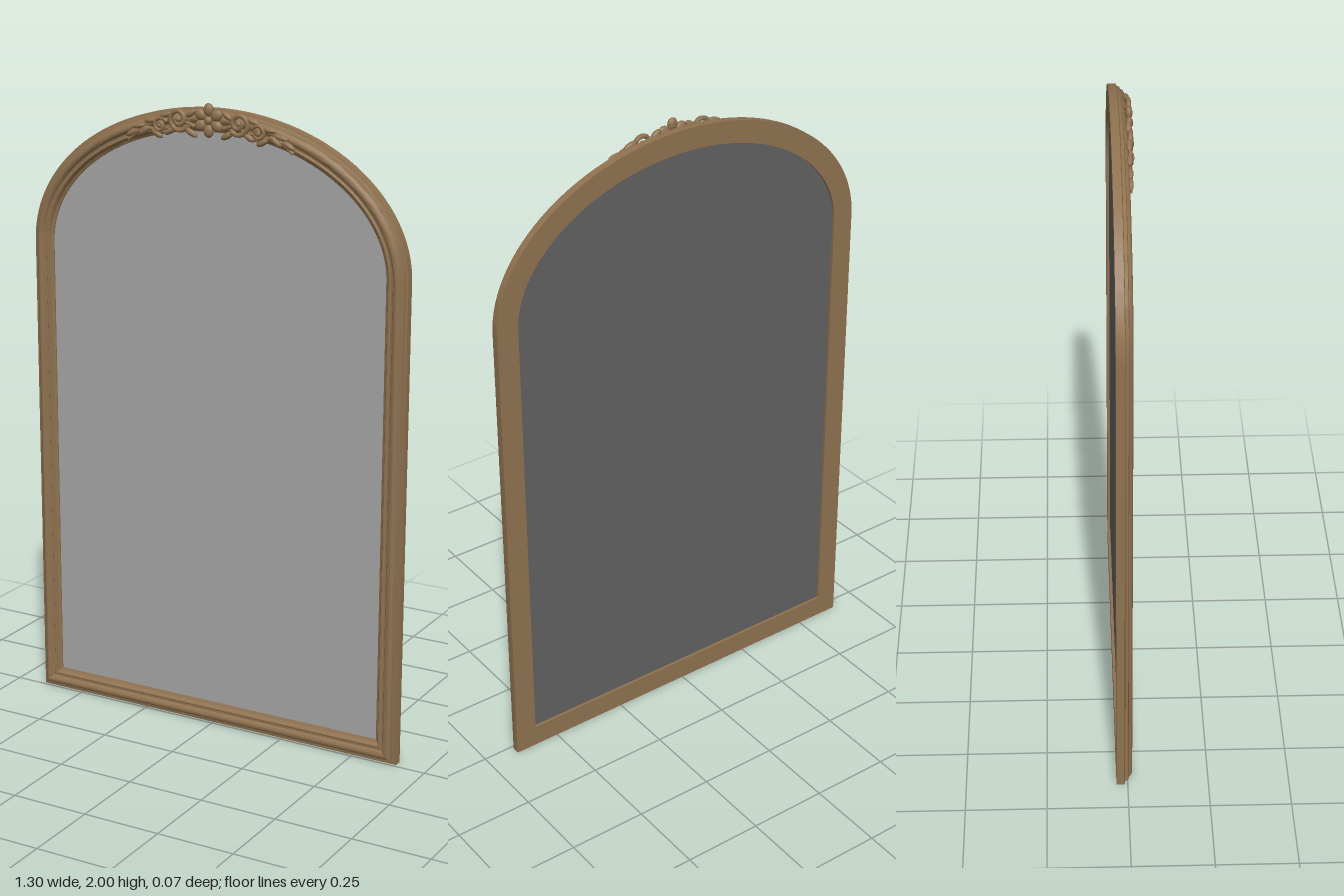
import * as THREE from 'three';
import { toCreasedNormals } from 'three/addons/utils/BufferGeometryUtils.js';

const HALF_W = 0.65, SPRING = 1.52, RISE = 0.46, ARCH_STEPS = 64;

// Arched outline, counter-clockwise from the front, offset inward by u
function outline(u) {
  const pts = [new THREE.Vector2(-HALF_W + u, u), new THREE.Vector2(HALF_W - u, u)];
  for (let i = 0; i <= ARCH_STEPS; i++) {
    const t = (i / ARCH_STEPS) * Math.PI;
    const n = new THREE.Vector2(Math.cos(t) / HALF_W, Math.sin(t) / RISE).normalize();
    pts.push(new THREE.Vector2(HALF_W * Math.cos(t) - n.x * u, SPRING + RISE * Math.sin(t) - n.y * u));
  }
  return pts;
}

// Closed moulding section swept round the outline: [inset, z]
function mouldingGeometry() {
  const section = [
    [0, -0.035], [0, -0.01], [0.007, -0.008], [0.010, 0.001], [0.016, 0.003],
    [0.020, 0.010], [0.026, 0.014], [0.033, 0.0145], [0.039, 0.011], [0.043, 0.004],
    [0.049, 0.003], [0.052, 0.007], [0.056, 0.007], [0.059, 0.002], [0.062, -0.004],
    [0.070, -0.008], [0.070, -0.035],
  ];
  const rings = section.map(([u]) => outline(u));
  const n = rings[0].length, m = section.length;
  const pos = [], index = [];
  for (let i = 0; i < n; i++) {
    for (let j = 0; j < m; j++) pos.push(rings[j][i].x, rings[j][i].y, section[j][1]);
  }
  for (let i = 0; i < n; i++) {
    for (let j = 0; j < m; j++) {
      const i2 = (i + 1) % n, j2 = (j + 1) % m;
      const a = i * m + j, b = i2 * m + j, c = i2 * m + j2, d = i * m + j2;
      index.push(a, b, c, a, c, d);
    }
  }
  const g = new THREE.BufferGeometry();
  g.setAttribute('position', new THREE.Float32BufferAttribute(pos, 3));
  g.setIndex(index);
  return toCreasedNormals(g, 0.6);
}

// Height of the moulding's centre line on the arch
const archY = (x) => SPRING + 0.425 * Math.sqrt(1 - (x / 0.615) ** 2);

export function createModel() {
  const model = new THREE.Group();
  model.name = 'archedMirror';
  const gold = new THREE.MeshStandardMaterial({ color: 0x8f7250 });
  gold.name = 'antique gold';
  const silver = new THREE.MeshStandardMaterial({ color: 0xa6a6a6 });
  silver.name = 'mirror silver';
  const backing = new THREE.MeshStandardMaterial({ color: 0x626262 });
  backing.name = 'backing grey';

  const add = (parent, name, geometry, material) => {
    const mesh = new THREE.Mesh(geometry, material);
    mesh.name = name;
    parent.add(mesh);
    return mesh;
  };

  add(model, 'frame', mouldingGeometry(), gold);

  // Glass and its backing
  const pane = new THREE.Shape(outline(0.066));
  add(model, 'mirrorGlass', new THREE.ShapeGeometry(pane), silver).position.z = -0.012;
  const back = add(model, 'backPanel', new THREE.ShapeGeometry(pane), backing);
  back.rotation.y = Math.PI;
  back.position.z = -0.026;

  // Carved crest
  const crest = new THREE.Group();
  crest.name = 'crest';
  model.add(crest);
  const ball = new THREE.SphereGeometry(1, 14, 10);
  const blob = (name, x, y, z, rx, ry, rz, angle = 0) => {
    const mesh = add(crest, name, ball, gold);
    mesh.position.set(x, y, z);
    mesh.scale.set(rx, ry, rz);
    mesh.rotation.z = angle;
  };
  const tube = (name, pts, r) => add(crest, name,
    new THREE.TubeGeometry(new THREE.CatmullRomCurve3(pts), 36, r, 7), gold);

  // Rosette
  const fy = 1.948;
  for (let i = 0; i < 6; i++) {
    const a = Math.PI / 2 + (i * Math.PI) / 3;
    blob('petal', 0.032 * Math.cos(a), fy + 0.032 * Math.sin(a), 0.019, 0.02, 0.0165, 0.011, a);
  }
  blob('rosetteCentre', 0, fy, 0.022, 0.013, 0.013, 0.01);

  // Scrolls and leaves, mirrored
  for (const s of [1, -1]) {
    const scroll = (cx, cy, r0, start, turns, dir, r) => {
      const pts = [];
      for (let i = 0; i <= 18; i++) {
        const k = i / 18, a = start + dir * k * turns * Math.PI * 2, q = r0 * (1 - 0.72 * k);
        pts.push(new THREE.Vector3(s * (cx + q * Math.cos(a)), cy + q * Math.sin(a), 0.018 + 0.006 * k));
      }
      tube('scroll', pts, r);
      blob('scrollEye', s * cx, cy, 0.022, 0.009, 0.009, 0.008);
    };
    scroll(0.103, 1.945, 0.036, -2.4, 1.4, 1, 0.0075);
    scroll(0.168, 1.922, 0.024, 2.6, 1.3, -1, 0.006);

    // Stem following the arch
    const stem = [];
    for (let i = 0; i <= 8; i++) {
      const x = 0.05 + i * 0.029;
      stem.push(new THREE.Vector3(s * x, archY(x) - 0.018 + 0.012 * Math.sin(i * 1.3), 0.015));
    }
    tube('stem', stem, 0.006);

    // [x, offset from arch, length, width, angle]
    for (const [x, dy, l, w, a] of [
      [0.062, -0.036, 0.024, 0.010, 0.5], [0.062, 0.022, 0.020, 0.009, -0.6],
      [0.135, -0.028, 0.022, 0.009, -0.5], [0.150, 0.022, 0.024, 0.009, -0.3],
      [0.180, -0.031, 0.022, 0.010, 0.5], [0.200, 0.012, 0.026, 0.009, -0.15],
      [0.225, -0.014, 0.024, 0.010, -0.6], [0.245, 0.004, 0.024, 0.008, -0.2],
      [0.268, -0.010, 0.024, 0.009, -0.5],
    ]) {
      blob('leaf', s * x, archY(x) + dy, 0.016, l, w, 0.009, s * a);
    }
  }
  return model;
}
